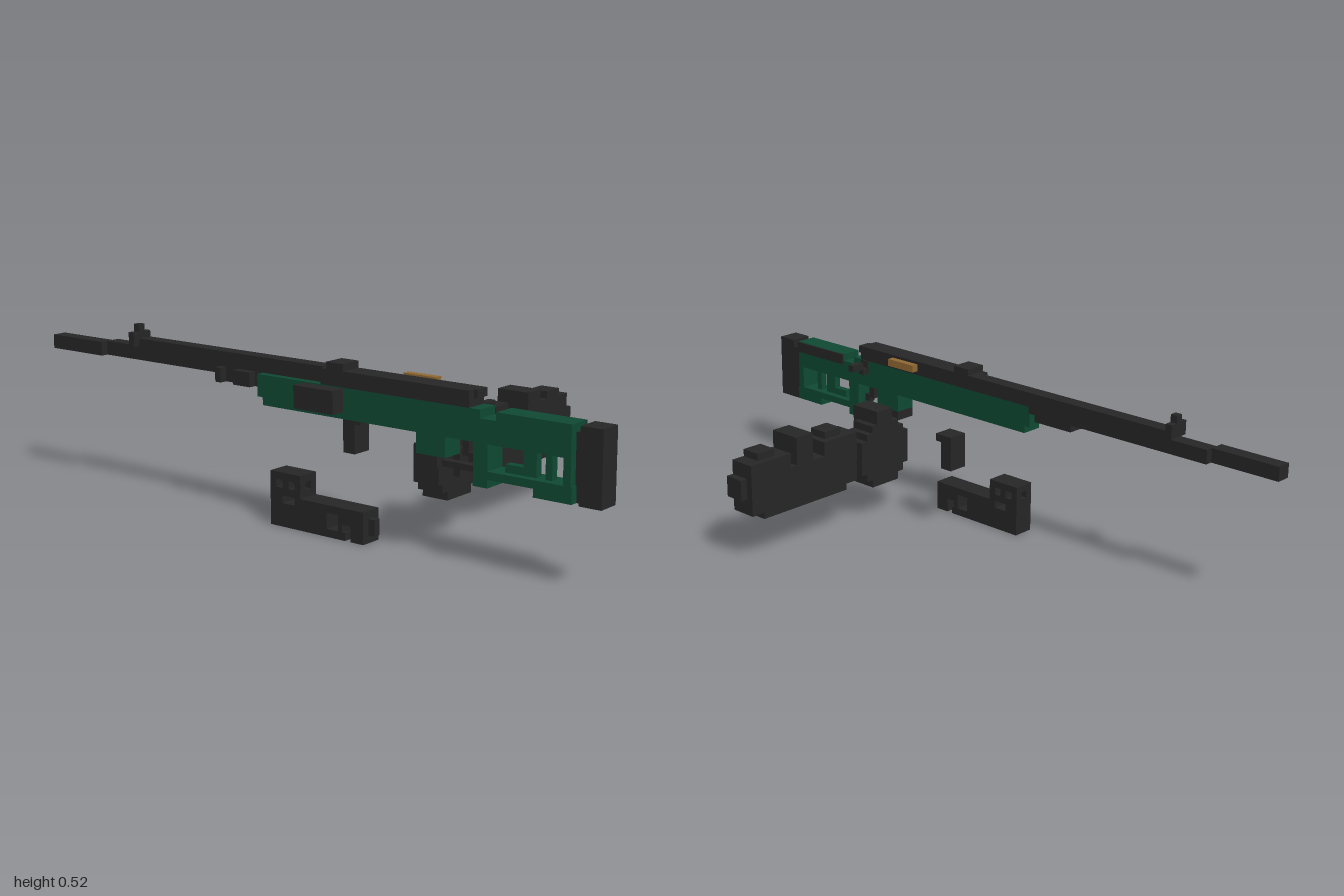
import * as THREE from 'three';

const mat = (name, color) => Object.assign(new THREE.MeshStandardMaterial({ color }), { name });

export function createModel() {
  const dark = mat('darkMetal', 0x262626);
  const green = mat('greenStock', 0x0f4833);
  const brass = mat('brass', 0x8f6833);
  const glass = mat('paleGlass', 0x9aa2bd);
  const root = new THREE.Group();
  root.name = 'rifleKit';

  // Each part is a group of blocks: [x0, x1, y0, y1, z0, z1]
  function part(name, material, blocks) {
    const g = new THREE.Group();
    g.name = name;
    blocks.forEach(([x0, x1, y0, y1, z0, z1]) => {
      const m = new THREE.Mesh(new THREE.BoxGeometry(x1 - x0, y1 - y0, z1 - z0), material);
      m.position.set((x0 + x1) / 2, (y0 + y1) / 2, (z0 + z1) / 2);
      m.name = name + 'Block';
      g.add(m);
    });
    root.add(g);
  }

  // The rifle is three columns wide
  const A = -0.387, B = -0.364, C = -0.341, D = -0.318;

  // Barrel, muzzle and sights
  part('muzzle', dark, [[A, C, 0.414, 0.457, -1, -0.78]]);
  part('barrel', dark, [[B, D, 0.414, 0.457, -0.78, -0.13]]);
  part('topRail', dark, [[B, D, 0.457, 0.48, -0.65, 0.61]]);
  part('frontSight', dark, [
    [A, D, 0.457, 0.5, -0.658, -0.636],
    [B, C, 0.5, 0.523, -0.658, -0.636],
  ]);
  part('rearSight', dark, [[A, D, 0.48, 0.5, 0.12, 0.18]]);
  part('barrelMount', dark, [
    [B, D, 0.392, 0.414, -0.295, -0.155],
    [A, B, 0.392, 0.435, -0.3, -0.278],
    [A, B, 0.392, 0.435, -0.23, -0.165],
  ]);

  // Receiver and bolt
  part('receiver', dark, [
    [B, D, 0.435, 0.457, -0.13, 0.1],
    [A, D, 0.435, 0.48, 0.1, 0.6],
  ]);
  part('boltHandle', dark, [
    [D, -0.297, 0.39, 0.412, 0.568, 0.59],
    [-0.297, -0.25, 0.41, 0.432, 0.568, 0.59],
    [D, -0.313, 0.39, 0.435, 0.565, 0.595],
  ]);

  // Green handguard and lower body
  part('handguard', green, [
    [A, D, 0.347, 0.435, -0.115, 0.6],
    [A, D, 0.37, 0.435, -0.135, -0.115],
    [A, D, 0.29, 0.347, 0.43, 0.525],
  ]);
  part('triggerGuard', dark, [
    [A, D, 0.26, 0.29, 0.43, 0.5],
    [B, C, 0.26, 0.277, 0.5, 0.615],
  ]);
  part('trigger', dark, [
    [B, C, 0.3, 0.347, 0.565, 0.585],
    [B, C, 0.285, 0.31, 0.585, 0.605],
  ]);

  // Skeleton stock
  part('stock', green, [
    [A, D, 0.347, 0.435, 0.685, 0.91],
    [A, D, 0.347, 0.412, 0.635, 0.685],
    [A, D, 0.347, 0.435, 0.595, 0.635],
    [A, D, 0.23, 0.275, 0.8, 0.914],
    [A, D, 0.253, 0.275, 0.66, 0.8],
    [A, D, 0.23, 0.347, 0.615, 0.66],
    [A, D, 0.275, 0.347, 0.888, 0.91],
    [B, C, 0.275, 0.347, 0.822, 0.842],
    [B, C, 0.275, 0.347, 0.755, 0.795],
    [B, C, 0.275, 0.297, 0.7, 0.755],
  ]);
  part('cheekPlate', dark, [[D, D + 0.005, 0.4, 0.434, 0.685, 0.91]]);
  part('buttPad', dark, [
    [A, D, 0.23, 0.435, 0.935, 1],
    [B, D, 0.23, 0.412, 0.91, 0.935],
  ]);

  // Side lamp
  part('sideLamp', dark, [[-0.432, A, 0.366, 0.432, 0.04, 0.18]]);
  part('lampLens', glass, [[-0.42, -0.398, 0.387, 0.41, 0.033, 0.041]]);

  // Loose cartridge
  part('cartridge', brass, [[-0.297, -0.275, 0.457, 0.48, 0.32, 0.43]]);

  // Small loose bracket
  part('bracket', dark, [
    [-0.25, -0.185, 0.297, 0.32, 0.068, 0.132],
    [-0.25, -0.185, 0.21, 0.297, 0.068, 0.11],
  ]);

  // Stepped round drum with a long body beside it
  const Z0 = 0.32, Z1 = 0.405;
  part('drum', dark, [
    [-0.207, -0.093, 0.115, 0.32, Z0, Z1],
    [-0.23, -0.07, 0.14, 0.297, Z0, Z1],
    [-0.25, -0.046, 0.165, 0.275, Z0, Z1],
    [-0.18, -0.115, 0.3, 0.363, Z0, 0.427],
    [-0.18, -0.115, 0.18, 0.26, Z1, 0.427],
  ]);
  part('longBody', dark, [
    [-0.05, 0.43, 0.21, 0.275, 0.342, Z1],
    [-0.023, 0.407, 0.16, 0.275, Z0, Z1],
    [0.023, 0.362, 0.14, 0.16, Z0, Z1],
    [-0.023, 0.113, 0.275, 0.32, Z0, Z1],
    [0.25, 0.407, 0.275, 0.32, Z0, Z1],
    [0.023, 0.09, 0.32, 0.342, 0.342, Z1],
    [0.296, 0.362, 0.32, 0.342, 0.342, Z1],
    [0.16, 0.226, 0.275, 0.363, Z0, 0.427],
  ]);

  // Loose lower attachment with an open clamp
  part('attachment', dark, [
    [A, D, 0, 0.07, -0.09, 0.1],
    [A, D, 0.07, 0.093, 0, 0.25],
    [A, D, 0.07, 0.093, -0.09, -0.045],
    [A, D, 0, 0.023, 0.1, 0.185],
    [A, D, 0.023, 0.07, 0.1, 0.118],
    [A, D, 0.023, 0.07, 0.16, 0.175],
    [A, D, 0, 0.07, 0.205, 0.25],
    [A, D, 0.045, 0.07, 0.175, 0.205],
    [B, C, 0.023, 0.07, 0.25, 0.272],
  ]);
  const clamp = [[A, D, 0.093, 0.115, -0.09, 0.022], [A, D, 0.138, 0.16, -0.09, 0.022]];
  for (const x of [A, C]) {
    for (const z of [-0.09, -0.044, 0.001]) clamp.push([x, x + 0.023, 0.115, 0.138, z, z + 0.022]);
  }
  part('clamp', dark, clamp);
  return root;
}
